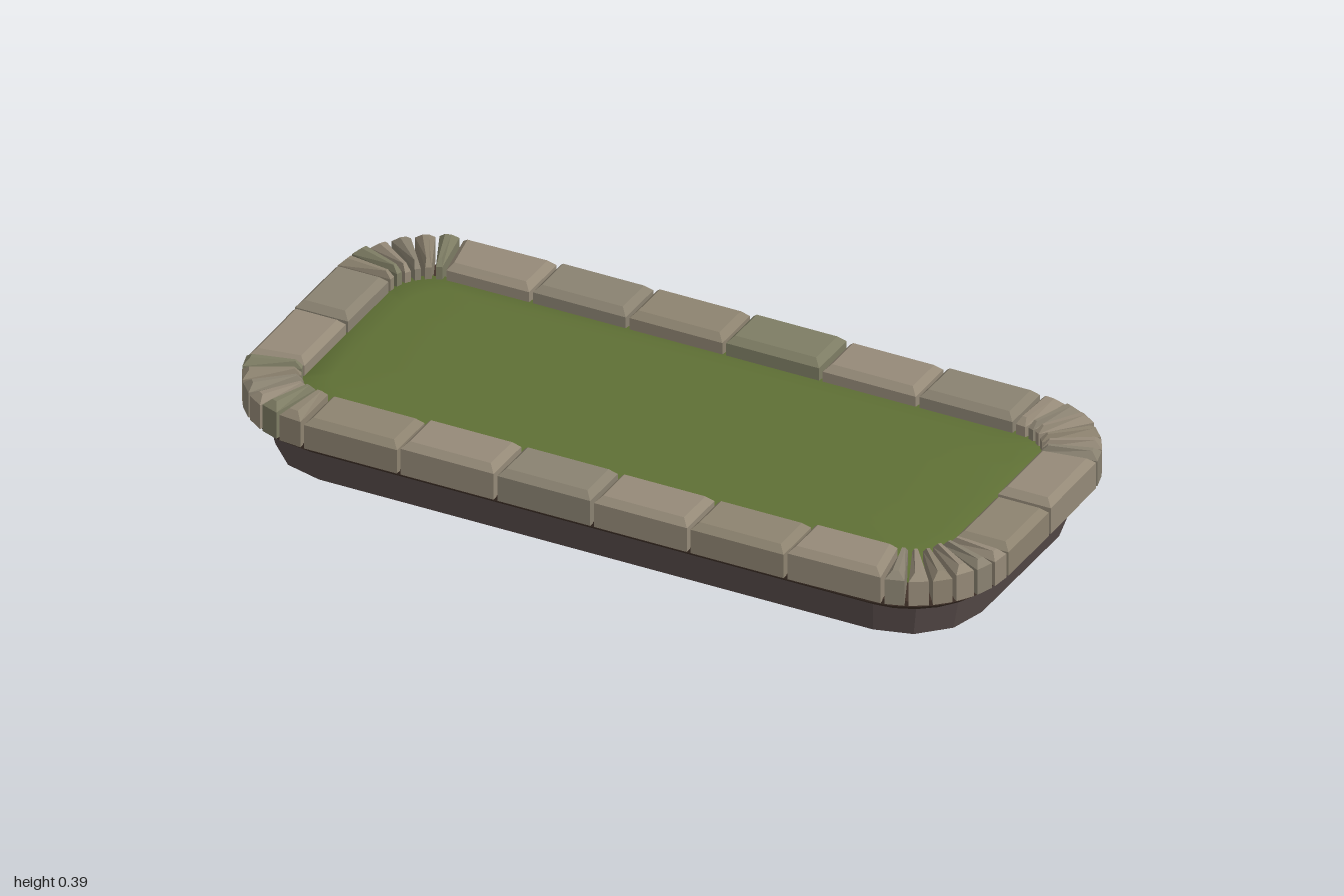
import * as THREE from 'three';

const mat = (color, flatShading = true) => new THREE.MeshStandardMaterial({ color, flatShading });

function add(parent, name, geometry, material) {
  const mesh = new THREE.Mesh(geometry, material);
  mesh.name = name;
  parent.add(mesh);
  return mesh;
}

// Rounded rectangle seen from above, starting at the front left end, running front -> right -> back -> left
function ring(y, hx, hz, r, segs, cx = 0) {
  const pts = [];
  [[1, 1], [1, -1], [-1, -1], [-1, 1]].forEach(([sx, sz], q) => {
    for (let i = 0; i <= segs; i++) {
      const a = (q + i / segs) * Math.PI / 2;
      pts.push([cx + sx * (hx - r) + r * Math.sin(a), y, sz * (hz - r) + r * Math.cos(a)]);
    }
  });
  return pts;
}

// Skin over rings listed from bottom to top
function loft(rings, smooth = false) {
  const n = rings[0].length, index = [];
  for (let k = 0; k < rings.length - 1; k++) {
    for (let i = 0; i < n; i++) {
      const a = k * n + i, b = k * n + (i + 1) % n;
      index.push(a, b, b + n, a, b + n, a + n);
    }
  }
  let g = new THREE.BufferGeometry();
  g.setAttribute('position', new THREE.Float32BufferAttribute(rings.flat(2), 3));
  g.setIndex(index);
  if (!smooth) g = g.toNonIndexed();
  g.computeVertexNormals();
  return g;
}

const point = (y, n, x = 0) => Array.from({ length: n }, () => [x, y, 0]);

// One kerb stone between two stations, with a chamfered top
function stoneGeometry(s0, s1, top) {
  const inner = 0.11, outer = 0.25, gap = 0.005;
  const at = (s, r) => [s.x + r * Math.sin(s.a), s.z + r * Math.cos(s.a)];
  const section = (y, inset) => {
    const corner = (r, end) => {
      const p = at(s0, r), q = at(s1, r);
      const t = Math.min((gap + inset) / Math.hypot(q[0] - p[0], q[1] - p[1]), 0.36);
      const u = end ? 1 - t : t;
      return [p[0] + (q[0] - p[0]) * u, y, p[1] + (q[1] - p[1]) * u];
    };
    return [corner(outer - inset, 0), corner(outer - inset, 1),
      corner(inner + inset, 1), corner(inner + inset, 0)];
  };
  const base = section(0.297, 0), lid = section(top, 0.016);
  const centre = (s) => {
    const c = [0, 1, 2].map((k) => (s[0][k] + s[1][k] + s[2][k] + s[3][k]) / 4);
    return s.map(() => c);
  };
  return loft([centre(base), base, section(top - 0.017, 0), lid, centre(lid)]);
}

export function createModel() {
  const model = new THREE.Group();
  model.name = 'floatingIsland';

  // Dark pointed underside
  const N = 16;
  add(model, 'underside', loft([
    point(0, N, 0.03),
    ring(0.07, 0.39, 0.13, 0.065, 3, 0.01),
    ring(0.138, 0.75, 0.26, 0.13, 3),
    ring(0.172, 0.925, 0.385, 0.19, 3),
  ]), mat(0x29262b));

  // Rock wall
  add(model, 'rockLayer', loft([
    ring(0.172, 0.925, 0.385, 0.19, 3),
    ring(0.255, 0.945, 0.402, 0.2, 3),
  ]), mat(0x5a4e4c));

  // Soil band under the stones
  add(model, 'soilBand', loft([
    ring(0.253, 0.945, 0.402, 0.2, 6),
    ring(0.285, 0.985, 0.445, 0.235, 6),
    ring(0.3, 0.985, 0.445, 0.235, 6),
    point(0.3, 28),
  ]), mat(0x42332a));

  // Lawn, slightly raised in the middle
  add(model, 'lawn', loft([
    ring(0.3, 0.9, 0.36, 0.15, 6),
    ring(0.332, 0.88, 0.34, 0.13, 6),
    ring(0.343, 0.8, 0.27, 0.1, 6),
    ring(0.349, 0.62, 0.17, 0.08, 6),
    point(0.35, 28),
  ], true), mat(0x5f7035, false));

  // Stations along half of the kerb: front, right front corner, right side, right back corner
  const deg = Math.PI / 180, stations = [];
  for (let i = 0; i < 6; i++) stations.push({ x: -0.74 + i * 0.2565, z: 0.21, a: 0 });
  for (let i = 0; i <= 6; i++) stations.push({ x: 0.75, z: 0.21, a: (11 + i * 13.2) * deg });
  stations.push({ x: 0.75, z: -0.005, a: 90 * deg });
  for (let i = 0; i <= 6; i++) stations.push({ x: 0.75, z: -0.21, a: (99 + i * 13.5) * deg });
  stations[stations.length - 1].x = 0.74;

  // Kerb stones, the second half turned about the middle
  const stoneMats = [0x8d8370, 0x958a78, 0x7e7d64, 0x8a8271].map((c) => mat(c));
  const kerb = new THREE.Group();
  kerb.name = 'stoneKerb';
  for (let half = 0; half < 2; half++) {
    const side = new THREE.Group();
    side.name = half ? 'backKerb' : 'frontKerb';
    side.rotation.y = half * Math.PI;
    for (let i = 0; i < stations.length - 1; i++) {
      const k = (i * 5 + half * 3 + (i >> 2)) % 7;
      const top = 0.378 + 0.0013 * k;
      add(side, 'kerbStone', stoneGeometry(stations[i], stations[i + 1], top), stoneMats[k % 4]);
    }
    kerb.add(side);
  }
  model.add(kerb);
  return model;
}
